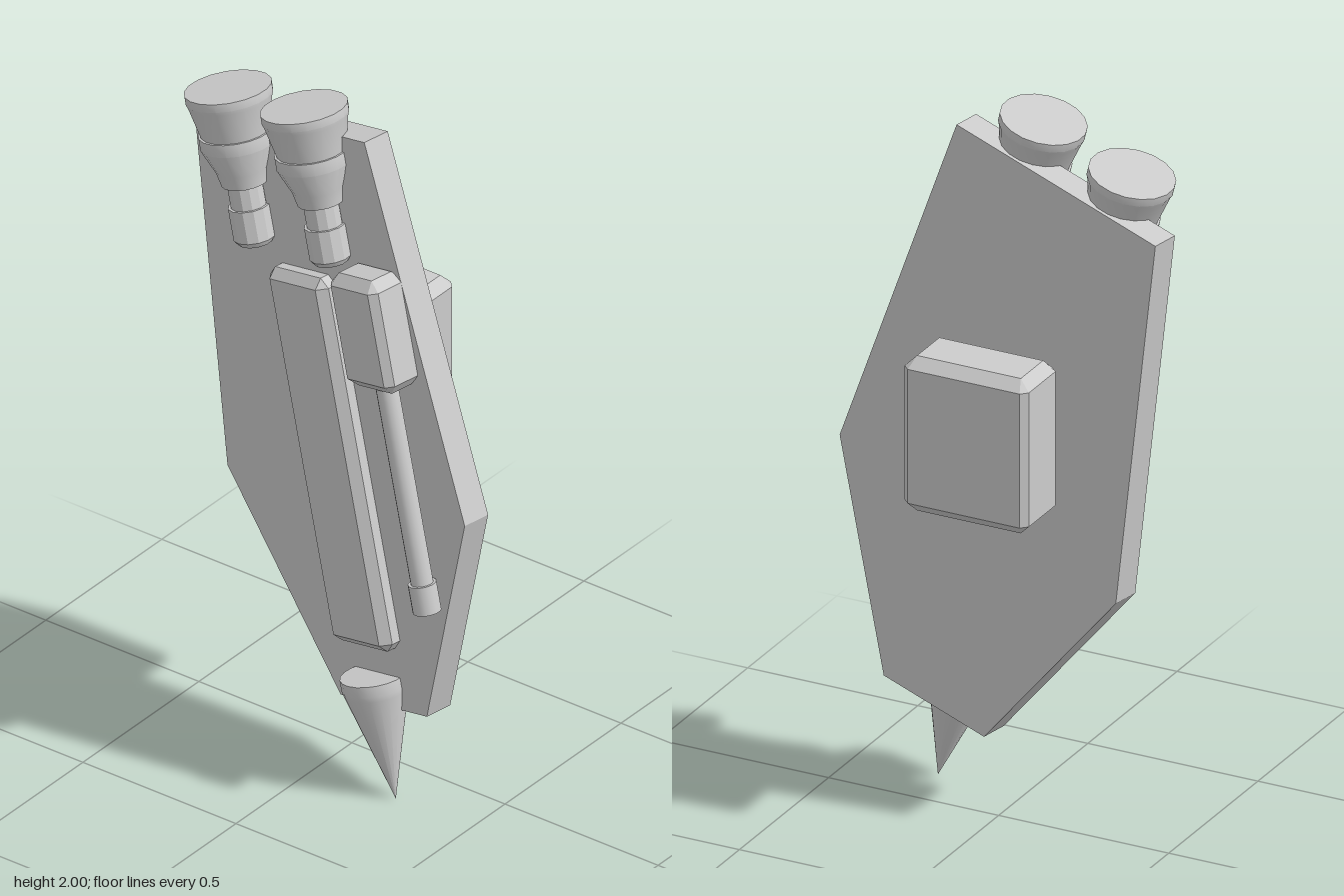
import * as THREE from 'three';
import { ConvexGeometry } from 'three/addons/geometries/ConvexGeometry.js';
import { toCreasedNormals } from 'three/addons/utils/BufferGeometryUtils.js';

const hullGrey = new THREE.MeshStandardMaterial({ color: 0xcccccc });
hullGrey.name = 'hullGrey';

function add(parent, name, geometry, x = 0, y = 0, z = 0) {
  const mesh = new THREE.Mesh(geometry, hullGrey);
  mesh.name = name;
  mesh.position.set(x, y, z);
  parent.add(mesh);
  return mesh;
}

// Box with chamfered ends (end) and chamfered upright edges (side)
function chamferBox(w, h, d, end, side) {
  const x = w / 2, y = h / 2, z = d / 2, points = [];
  for (const i of [-1, 1]) for (const j of [-1, 1]) for (const k of [-1, 1]) {
    points.push(
      new THREE.Vector3(i * (x - end), j * y, k * (z - end)),
      new THREE.Vector3(i * x, j * (y - end), k * (z - side)),
      new THREE.Vector3(i * (x - side), j * (y - end), k * z));
  }
  return new ConvexGeometry(points);
}

// Turned part from [radius, height] pairs, listed bottom to top
function turned(profile, sides = 18) {
  const points = profile.map(([r, y]) => new THREE.Vector2(r, y));
  return toCreasedNormals(new THREE.LatheGeometry(points, sides), 0.5);
}

export function createModel() {
  const model = new THREE.Group();
  model.name = 'wingPod';

  // The wing leans back and is turned slightly; all its fittings share its frame
  const wing = new THREE.Group();
  wing.name = 'wing';
  wing.position.set(-0.01, 1.007, 0.027);
  wing.rotation.set(-14 * Math.PI / 180, -10 * Math.PI / 180, 0, 'YXZ');
  model.add(wing);

  // Six-sided armour plate, thickness running from x = 0 to x = -0.083
  const outline = [[0.337, 0.88], [0.468, -0.184], [0.17, -0.78],
    [-0.17, -0.78], [-0.468, -0.184], [-0.337, 0.88]];
  const shape = new THREE.Shape(outline.map(([z, y]) => new THREE.Vector2(z, y)));
  const plate = new THREE.ExtrudeGeometry(shape, { depth: 0.083, bevelEnabled: false });
  plate.rotateY(-Math.PI / 2);
  add(wing, 'armourPlate', plate);

  // Raised spine on the inner face
  add(wing, 'spine', chamferBox(0.09, 1.06, 0.23, 0.025, 0.025), -0.09, -0.07, 0);

  // Pair of engines at the upper end
  for (const side of [-1, 1]) {
    const engine = new THREE.Group();
    engine.name = side > 0 ? 'frontEngine' : 'rearEngine';
    engine.position.set(-0.112, 0, side * 0.15);
    wing.add(engine);
    add(engine, 'nozzle', turned([[0, 0.83], [0.092, 0.83], [0.113, 0.925], [0.117, 0.935],
      [0.117, 0.958], [0, 0.958]]));
    add(engine, 'engineCup', turned([[0, 0.69], [0.062, 0.69], [0.07, 0.73], [0.1, 0.8],
      [0.1, 0.835], [0, 0.835]]));
    add(engine, 'engineNeck', turned([[0, 0.61], [0.048, 0.61], [0.048, 0.7], [0, 0.7]], 12));
    add(engine, 'engineTail', turned([[0, 0.52], [0.045, 0.52], [0.056, 0.535],
      [0.056, 0.625], [0, 0.625]], 12));
  }

  // Side housing with a long barrel pointing down
  add(wing, 'barrelHousing', chamferBox(0.125, 0.32, 0.185, 0.028, 0.02), -0.122, 0.36, 0.293);
  add(wing, 'barrel', new THREE.CylinderGeometry(0.03, 0.03, 0.6, 16), -0.123, -0.1, 0.3);
  add(wing, 'muzzle', new THREE.CylinderGeometry(0.038, 0.038, 0.08, 16), -0.123, -0.4, 0.3);

  // Spike at the lower end
  add(wing, 'spike', turned([[0, -1.038], [0.087, -0.73], [0.09, -0.715], [0.09, -0.685],
    [0, -0.685]], 20), -0.098, 0, 0);

  // Upright block standing off the outer face
  add(model, 'outerBlock', chamferBox(0.185, 0.445, 0.365, 0.03, 0.018), 0.146, 1.157, -0.022);

  return model;
}
